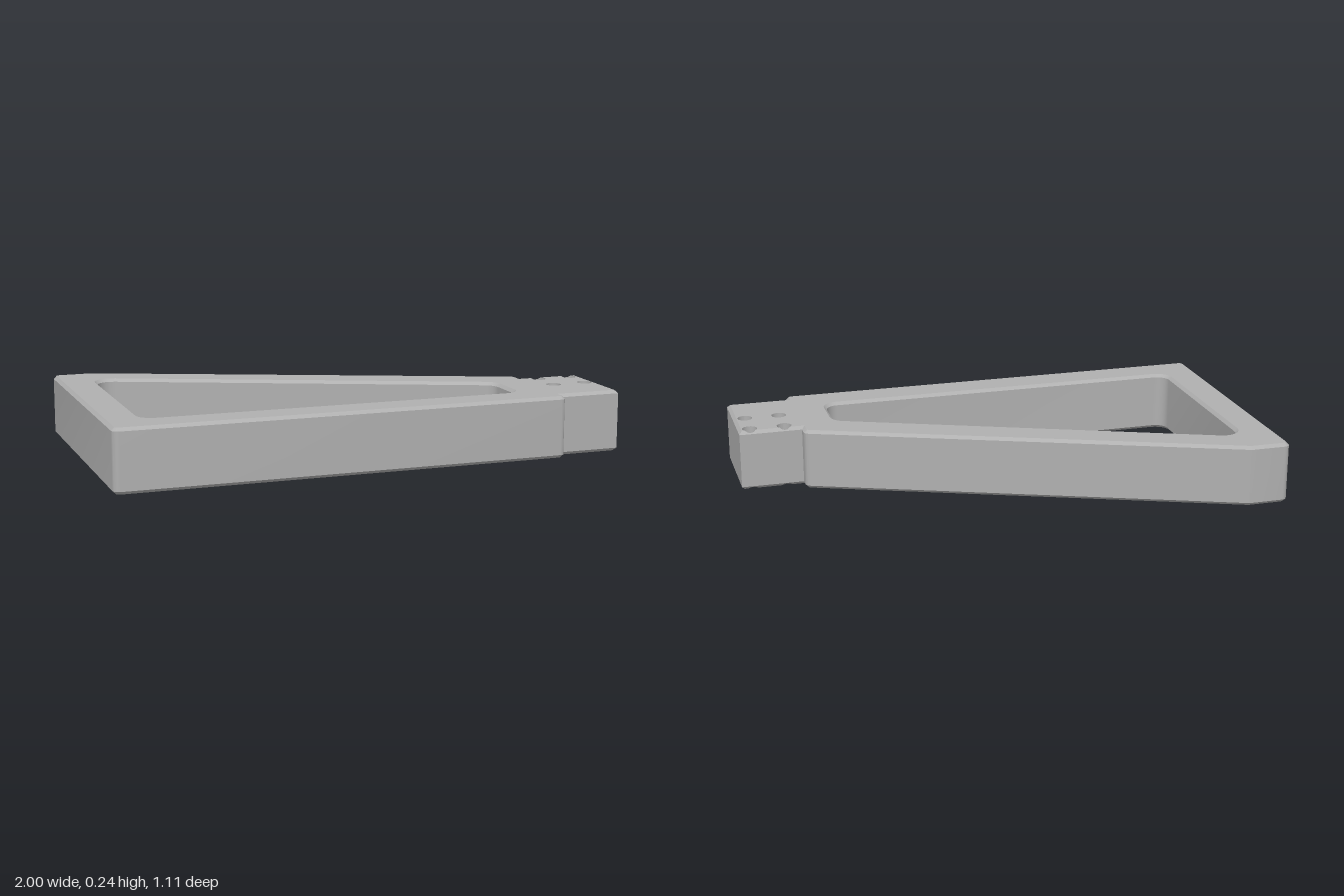
import * as THREE from 'three';
import { toCreasedNormals } from 'three/addons/utils/BufferGeometryUtils.js';

const H = 0.24;         // plate height
const C = 0.012;        // edge chamfer
const TAB = 0.15;       // z of the tab's rear edge
const R = 0.029;        // bolt hole radius
const HOLE_X = [0.82, 0.955];
const REAR_Z = 0.183, FRONT_Z = 0.315;
const V = (x, y) => new THREE.Vector2(x, y);

// Plan outlines use (x, -z); material always lies on the left. Entries: x, -z, corner radius.
const OUTER = [
  [-1, -0.553, 0.025], [0.755, -0.553, 0.02], [0.755, -0.51, 0], [1, -0.51, 0],
  [1, -TAB, 0], [0.755, -TAB, 0], [0.755, -0.1, 0.025], [-0.84, 0.553, 0.04], [-1, 0.553, 0.025],
];
const INNER = [
  [-0.861, -0.41, 0.05], [-0.861, 0.42, 0.058], [0.617, -0.199, 0.055], [0.617, -0.41, 0.05],
];

// Replace each corner with an arc
function roundedLoop(corners) {
  const out = [], n = corners.length;
  corners.forEach(([x, y, r], i) => {
    const p = V(x, y);
    if (!r) { out.push(p); return; }
    const a = V(...corners[(i + n - 1) % n]), b = V(...corners[(i + 1) % n]);
    const u = p.clone().sub(a).normalize(), w = b.sub(p).normalize();
    const turn = Math.atan2(u.cross(w), u.dot(w)), s = Math.sign(turn);
    const start = p.clone().addScaledVector(u, -r * Math.tan(Math.abs(turn) / 2));
    const centre = start.clone().add(V(-u.y, u.x).multiplyScalar(r * s));
    for (let k = 0; k <= 6; k++) out.push(start.clone().rotateAround(centre, turn * k / 6));
  });
  return out;
}

// Shift a loop into the material by d with mitred corners
function inset(loop, d) {
  const n = loop.length;
  return loop.map((p, i) => {
    const u = p.clone().sub(loop[(i + n - 1) % n]).normalize();
    const w = loop[(i + 1) % n].clone().sub(p).normalize();
    const n1 = V(-u.y, u.x), n2 = V(-w.y, w.x);
    return p.clone().addScaledVector(n1.clone().add(n2), d / (1 + n1.dot(n2)));
  });
}

// Upright wall with chamfers at top and bottom
function wall(loop) {
  const small = inset(loop, C), pos = [], n = loop.length;
  const rings = [[small, 0], [loop, C], [loop, H - C], [small, H]];
  for (let k = 0; k < 3; k++) {
    const [lo, y0] = rings[k], [hi, y1] = rings[k + 1];
    for (let i = 0; i < n; i++) {
      const j = (i + 1) % n;
      // the tab's rear chamfer is a separate part, cut by the bolt holes
      if (k !== 1 && loop[i].y === -TAB && loop[j].y === -TAB) continue;
      const a = [lo[i].x, y0, -lo[i].y], b = [lo[j].x, y0, -lo[j].y];
      const c = [hi[j].x, y1, -hi[j].y], d = [hi[i].x, y1, -hi[i].y];
      pos.push(...a, ...b, ...c, ...a, ...c, ...d);
    }
  }
  const g = new THREE.BufferGeometry();
  g.setAttribute('position', new THREE.Float32BufferAttribute(pos, 3));
  return toCreasedNormals(g, 0.5);
}

function flip(g) {
  const ix = g.index.array;
  for (let i = 0; i < ix.length; i += 3) [ix[i], ix[i + 1]] = [ix[i + 1], ix[i]];
  g.computeVertexNormals();
  return g;
}

// Height of the top surface on the tab's rear chamfer
const chamferY = (z) => Math.min(H, H - C + z - TAB);

// Plan shape laid flat at the top, or mirrored to the bottom
function face(shape, height, bottom) {
  const g = new THREE.ShapeGeometry(shape, 24).rotateX(-Math.PI / 2);
  const p = g.attributes.position;
  for (let i = 0; i < p.count; i++) {
    const y = height(p.getZ(i));
    p.setY(i, bottom ? H - y : y);
  }
  if (bottom) return flip(g);
  g.computeVertexNormals();
  return g;
}

function arc(cx, from, to) {
  const pts = [];
  for (let k = 0; k <= 16; k++) {
    const t = from + (to - from) * k / 16;
    pts.push(V(cx + R * Math.cos(t), -REAR_Z + R * Math.sin(t)));
  }
  return pts;
}

export function createModel() {
  const group = new THREE.Group();
  const metal = new THREE.MeshStandardMaterial({ color: 0xb0b0b0, side: THREE.DoubleSide });
  metal.name = 'grey metal';
  const add = (name, geometry) => {
    const m = new THREE.Mesh(geometry, metal);
    m.name = name;
    group.add(m);
  };

  const outer = roundedLoop(OUTER), inner = roundedLoop(INNER);
  add('outerWall', wall(outer));
  add('innerWall', wall(inner));

  // Flat faces, with the rear bolt holes biting into the tab's edge
  const bite = Math.asin((REAR_Z - TAB - C) / R);
  const rim = inset(outer, C);
  const at = outer.findIndex((p) => p.x === 1 && p.y === -TAB);
  const bites = [...HOLE_X].reverse().flatMap((x) => arc(x, bite, -Math.PI - bite));
  const plate = new THREE.Shape([...rim.slice(0, at + 1), ...bites, ...rim.slice(at + 1)]);
  plate.holes.push(new THREE.Path(inset(inner, C)));
  for (const x of HOLE_X) {
    plate.holes.push(new THREE.Path().absarc(x, -FRONT_Z, R, 0, Math.PI * 2, true));
  }

  // Chamfer strip along the tab's rear edge
  const strip = new THREE.Shape([
    outer[at], outer[at + 1], rim[at + 1],
    ...HOLE_X.flatMap((x) => arc(x, Math.PI - bite, bite)), rim[at],
  ]);

  for (const bottom of [false, true]) {
    const side = bottom ? 'bottom' : 'top';
    add(side + 'Face', face(plate, () => H, bottom));
    add(side + 'TabChamfer', face(strip, chamferY, bottom));
  }

  // Bolt hole bores, trimmed to the chamfer
  for (const x of HOLE_X) for (const z of [REAR_Z, FRONT_Z]) {
    const g = new THREE.CylinderGeometry(R, R, H, 32, 1, true).translate(x, H / 2, z);
    const p = g.attributes.position;
    for (let i = 0; i < p.count; i++) {
      const y = chamferY(p.getZ(i));
      p.setY(i, p.getY(i) > H / 2 ? y : H - y);
    }
    add('boltHole', flip(g));
  }
  return group;
}
